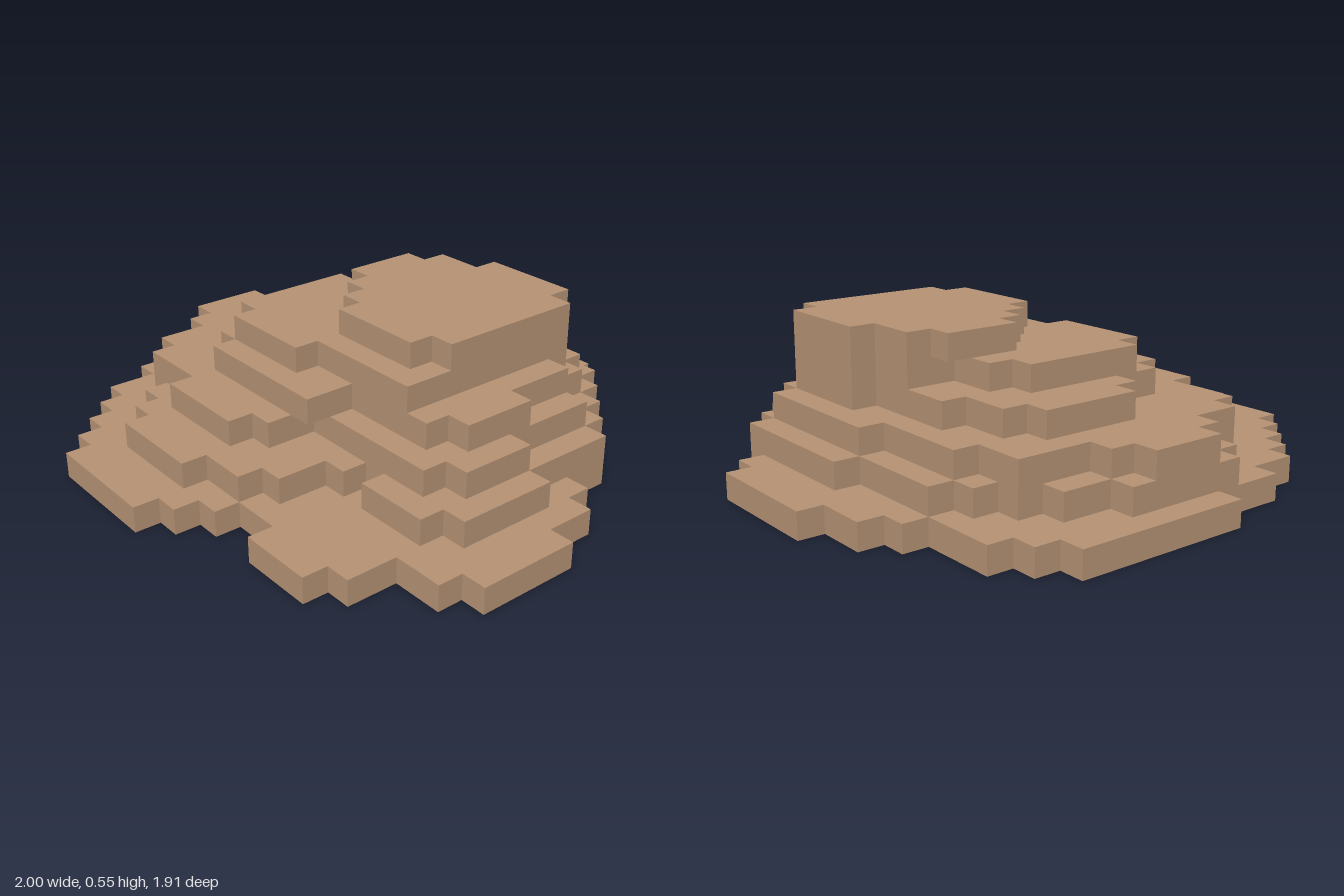
import * as THREE from 'three';

const CELL = 1 / 11;        // size of one block
const COLS = 22, ROWS = 21; // ground grid, rows counted from the back

// Turns a line through [row, column] points into a stepped edge on the grid
function steppedEdge(points) {
  const edge = [];
  const add = (col, row) => {
    const n = edge.length;
    const p = new THREE.Vector2((col - COLS / 2) * CELL, (ROWS / 2 - row) * CELL);
    // merge straight runs
    if (n > 1 && edge[n - 1].x === p.x && edge[n - 2].x === p.x) edge.pop();
    edge.push(p);
  };
  const last = points[points.length - 1][0];
  for (let row = points[0][0], k = 0; row <= last; row++) {
    while (k < points.length - 2 && row > points[k + 1][0]) k++;
    const [r0, c0] = points[k], [r1, c1] = points[k + 1];
    const col = Math.round(c0 + ((c1 - c0) * (row - r0)) / (r1 - r0));
    add(col, row);
    add(col, row + 1);
  }
  return edge;
}

export function createModel() {
  const group = new THREE.Group();
  group.name = 'steppedMound';
  const earth = new THREE.MeshStandardMaterial({ color: 0xb59274 });
  earth.name = 'earth brown';

  // One block-high slab between a left and a right edge
  const addTerrace = (name, level, left, right) => {
    const shape = new THREE.Shape([...steppedEdge(left), ...steppedEdge(right).reverse()]);
    const geometry = new THREE.ExtrudeGeometry(shape, { depth: CELL, bevelEnabled: false });
    geometry.rotateX(-Math.PI / 2);
    geometry.translate(0, level * CELL, 0);
    const mesh = new THREE.Mesh(geometry, earth);
    mesh.name = name;
    group.add(mesh);
  };

  // Small block on the grid, standing apart from the rest of its row
  const addSpur = (name, level, row, from, to) => {
    const mesh = new THREE.Mesh(new THREE.BoxGeometry((to - from) * CELL, CELL, CELL), earth);
    mesh.position.set(((from + to - COLS) / 2) * CELL, (level + 0.5) * CELL, (row + 0.5 - ROWS / 2) * CELL);
    mesh.name = name;
    group.add(mesh);
  };

  addTerrace('baseTerrace', 0,
    [[0, 8], [1, 6], [2, 5], [3, 2], [5, 0], [11, 0], [12, 1], [14, 1], [16, 2], [20, 6]],
    [[0, 13], [6, 19], [7, 19], [11, 22], [14, 22], [15, 21], [16, 19], [17, 19], [18, 13], [20, 11]]);
  addSpur('baseSpur', 0, 18, 15, 18);

  addTerrace('secondTerrace', 1,
    [[2, 9], [3, 5], [6, 2], [8, 1], [12, 1], [18, 7]],
    [[2, 15], [6, 19], [13, 20], [14, 15], [17, 13], [18, 11]]);
  addSpur('secondSpur', 1, 14, 16, 19);

  addTerrace('thirdTerrace', 2,
    [[3, 9], [4, 5], [5, 3], [7, 3], [9, 1], [11, 1], [13, 3], [14, 3], [15, 4], [16, 7]],
    [[3, 15], [4, 16], [5, 16], [6, 18], [9, 18], [10, 19], [12, 19], [13, 18], [14, 12], [16, 11]]);

  addTerrace('fourthTerrace', 3,
    [[4, 11], [5, 7], [6, 5], [7, 4], [10, 4], [12, 6], [13, 6], [14, 7]],
    [[4, 15], [6, 17], [8, 17], [9, 18], [11, 18], [12, 17], [13, 13], [14, 13]]);

  addTerrace('fifthTerrace', 4,
    [[4, 11], [5, 9], [6, 9], [7, 7], [8, 6], [12, 6], [13, 7]],
    [[4, 15], [5, 16], [12, 16], [13, 11]]);

  addTerrace('topTerrace', 5,
    [[4, 11], [5, 9], [6, 8], [8, 8], [11, 11]],
    [[4, 15], [5, 16], [10, 16], [11, 15]]);

  return group;
}
